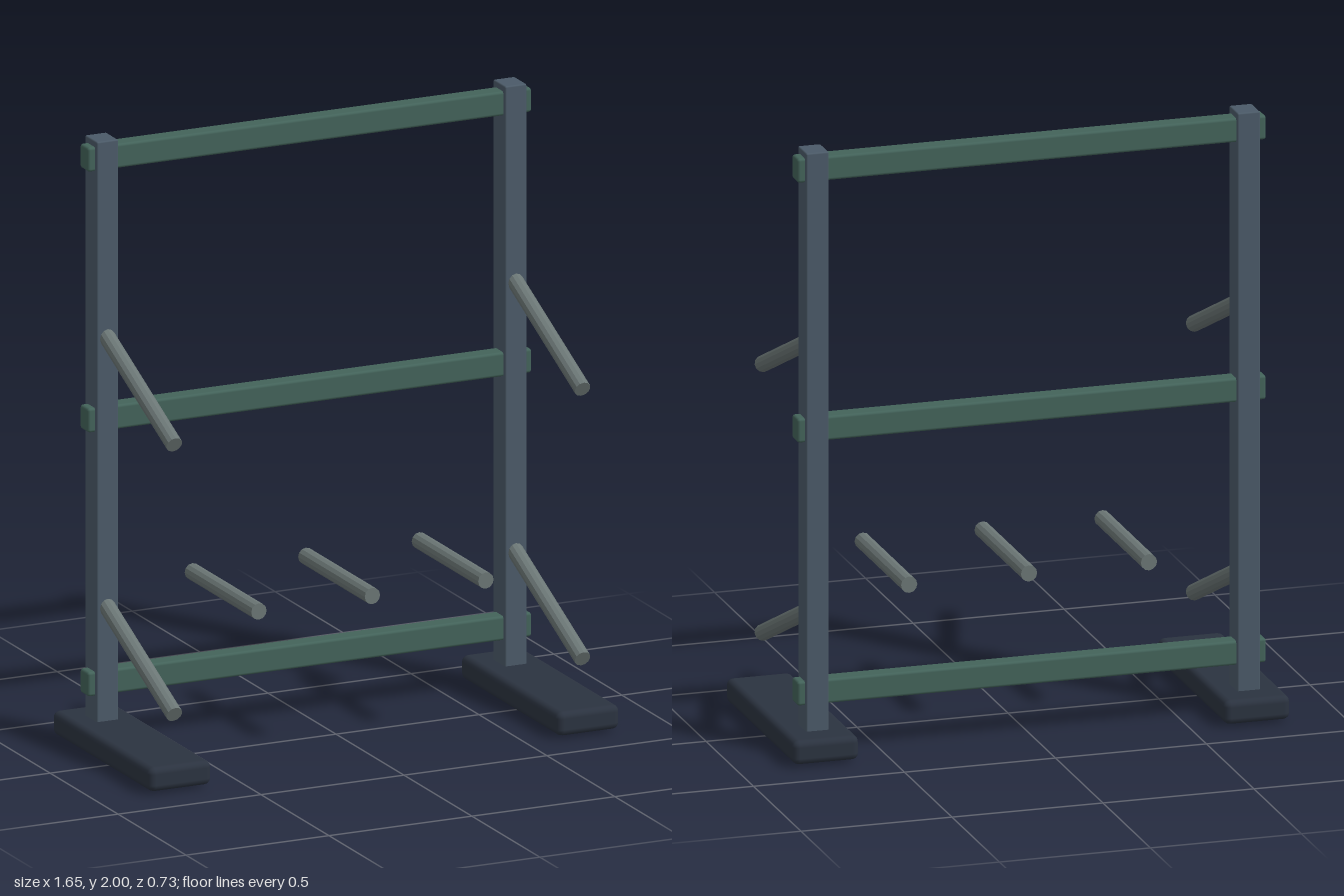
import * as THREE from 'three';
import { RoundedBoxGeometry } from 'three/addons/geometries/RoundedBoxGeometry.js';

function material(name, color) {
  const m = new THREE.MeshStandardMaterial({ color });
  m.name = name;
  return m;
}

export function createModel() {
  const group = new THREE.Group();
  group.name = 'storageRack';

  const slate = material('slate post', 0x4b5a68);
  const green = material('green rail', 0x43635a);
  const dark = material('dark foot', 0x2b3340);
  const steel = material('grey steel', 0x6b7675);
  steel.flatShading = true;

  const POST_X = 0.714;
  const POST_Z = -0.222;

  // Softly bevelled box centred on a point
  function block(name, mat, size, bevel, position) {
    const mesh = new THREE.Mesh(new RoundedBoxGeometry(...size, 2, bevel), mat);
    mesh.name = name;
    mesh.position.set(...position);
    group.add(mesh);
  }

  // Faceted rod running between two points
  function peg(name, start, end) {
    const a = new THREE.Vector3(...start);
    const b = new THREE.Vector3(...end);
    const mesh = new THREE.Mesh(new THREE.CylinderGeometry(0.027, 0.027, a.distanceTo(b), 12), steel);
    mesh.name = name;
    mesh.position.copy(a).lerp(b, 0.5);
    mesh.quaternion.setFromUnitVectors(new THREE.Vector3(0, 1, 0), b.sub(a).normalize());
    group.add(mesh);
  }

  // Uprights, feet and sloping pegs on both sides
  for (const [side, s] of [['left', 1], ['right', -1]]) {
    const x = s * POST_X;
    block(side + 'Post', slate, [0.075, 2, 0.09], 0.005, [x, 1, POST_Z]);
    block(side + 'Foot', dark, [0.218, 0.08, 0.725], 0.022, [x, 0.048, 0]);
    peg(side + 'UpperPeg', [x, 1.37, POST_Z], [x, 1.13, 0.312]);
    peg(side + 'LowerPeg', [x, 0.481, POST_Z], [x, 0.241, 0.312]);
  }

  // Cross rails passing through both posts
  [['lowerRail', 0.21], ['middleRail', 1.08], ['upperRail', 1.94]].forEach(([name, y]) =>
    block(name, green, [1.552, 0.08, 0.062], 0.009, [0, y, POST_Z]));

  // Row of level pegs
  [['rightLevelPeg', -0.397], ['centreLevelPeg', 0], ['leftLevelPeg', 0.397]].forEach(([name, x]) =>
    peg(name, [x, 0.528, -0.222], [x, 0.528, 0.268]));

  return group;
}
